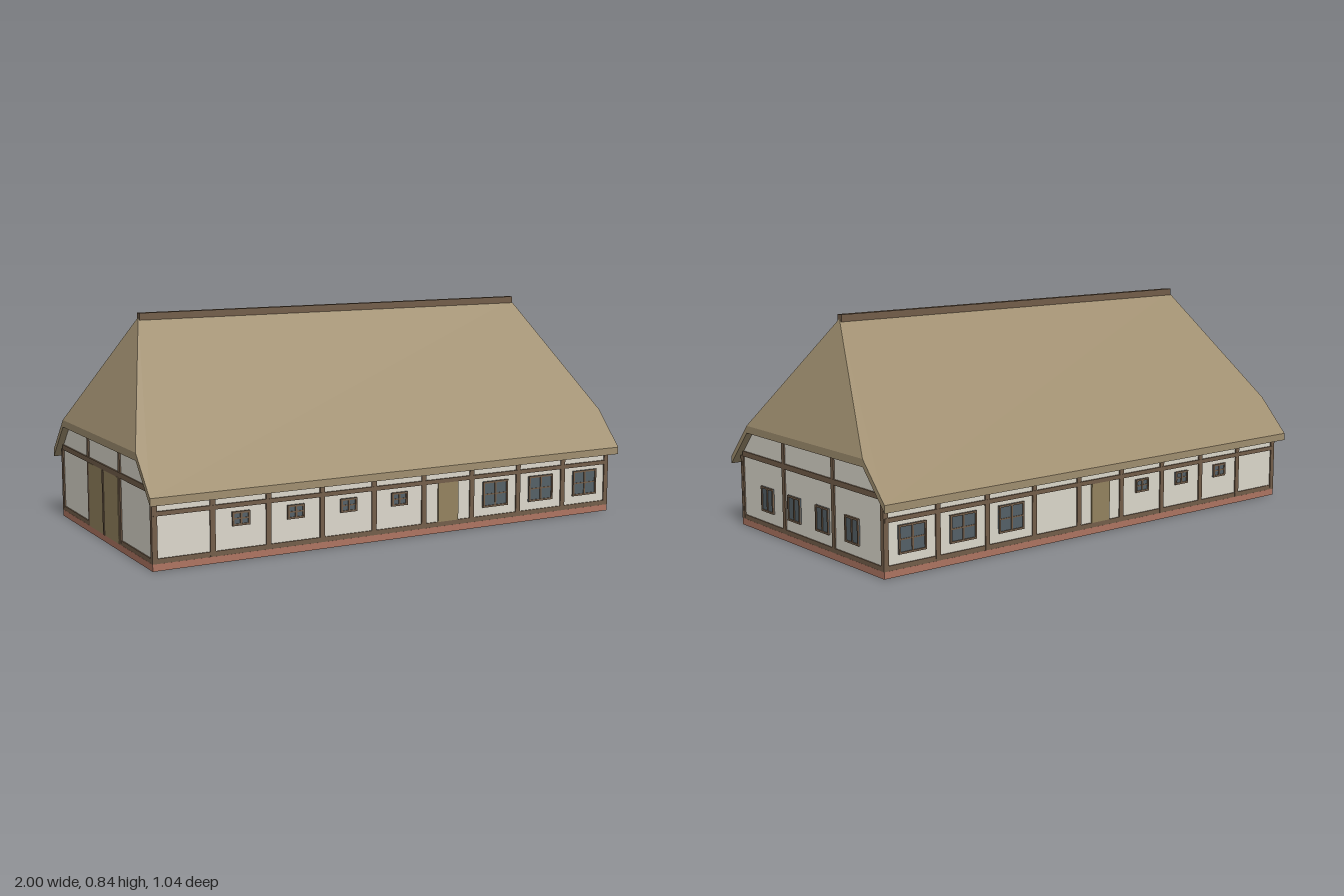
import * as THREE from 'three';

const mat = (name, color, extra = {}) => {
  const m = new THREE.MeshStandardMaterial({ color, ...extra });
  m.name = name;
  return m;
};

export function createModel() {
  const plaster = mat('plaster', 0xdcd8cc);
  const timber = mat('timber', 0x735e4a);
  const thatch = mat('thatch', 0xa08f70, { flatShading: true });
  const brick = mat('brick', 0xae7562);
  const plank = mat('door planks', 0x94835f);
  const glass = mat('window glass', 0x556067);

  const house = new THREE.Group();
  house.name = 'farmhouse';

  const box = (parent, name, m, w, h, d, x, y, z) => {
    const mesh = new THREE.Mesh(new THREE.BoxGeometry(w, h, d), m);
    mesh.name = name;
    mesh.position.set(x, y, z);
    parent.add(mesh);
    return mesh;
  };

  // Plinth and plastered body with clipped gables
  const HX = 0.975, HZ = 0.478;
  box(house, 'plinth', brick, 1.96, 0.025, 0.966, 0, 0.0125, 0);
  const profile = new THREE.Shape([
    [-HZ, 0.02], [HZ, 0.02], [HZ, 0.278], [0.347, 0.42], [-0.347, 0.42], [-HZ, 0.278],
  ].map(([a, b]) => new THREE.Vector2(a, b)));
  const bodyGeo = new THREE.ExtrudeGeometry(profile, { depth: 2 * HX, bevelEnabled: false });
  bodyGeo.translate(0, 0, -HX).rotateY(Math.PI / 2);
  const body = new THREE.Mesh(bodyGeo, plaster);
  body.name = 'walls';
  house.add(body);

  // Half-hipped thatch slab: outer faces, matching underside and rim
  const T = 0.028;
  const ridge = s => [0.83 * s, 0.825, 0];
  const hip = (s, f) => [s, 0.4, 0.394 * f];
  const eave = (s, f) => [s, 0.264, 0.52 * f];
  const pos = [];
  const face = (pts) => {
    for (let i = 1; i < pts.length - 1; i++) pos.push(...pts[0], ...pts[i], ...pts[i + 1]);
  };
  const drop = p => [p[0], p[1] - T, p[2]];
  const skin = (pts) => { face(pts); face(pts.map(drop).reverse()); };
  skin([eave(-1, 1), eave(1, 1), hip(1, 1), ridge(1), ridge(-1), hip(-1, 1)]);
  skin([eave(1, -1), eave(-1, -1), hip(-1, -1), ridge(-1), ridge(1), hip(1, -1)]);
  skin([hip(1, 1), hip(1, -1), ridge(1)]);
  skin([hip(-1, -1), hip(-1, 1), ridge(-1)]);
  const rim = [eave(-1, 1), eave(1, 1), hip(1, 1), hip(1, -1), eave(1, -1),
    eave(-1, -1), hip(-1, -1), hip(-1, 1)];
  rim.forEach((a, i) => {
    const b = rim[(i + 1) % rim.length];
    face([drop(a), drop(b), b, a]);
  });
  const roofGeo = new THREE.BufferGeometry();
  roofGeo.setAttribute('position', new THREE.Float32BufferAttribute(pos, 3));
  roofGeo.computeVertexNormals();
  const roof = new THREE.Mesh(roofGeo, thatch);
  roof.name = 'thatchedRoof';
  house.add(roof);
  box(house, 'ridgeCap', timber, 1.66, 0.026, 0.026, 0, 0.827, 0);

  // Each wall is a group whose local +z points outwards from the plaster
  const wall = (name, angle, dist) => {
    const g = new THREE.Group();
    g.name = name;
    g.rotation.y = angle;
    g.position.set(Math.sin(angle) * dist, 0, Math.cos(angle) * dist);
    house.add(g);
    return g;
  };
  const beam = (g, name, w, y0, y1, x, out = 0.005) =>
    box(g, name, timber, w, y1 - y0, 0.01, x, (y0 + y1) / 2, out - 0.005);

  // Window: glass pane, border and glazing bars
  const addWindow = (g, x, y0, y1, w, cross) => {
    const win = new THREE.Group();
    win.name = 'window';
    const h = y1 - y0, b = 0.007;
    box(win, 'pane', glass, w, h, 0.004, 0, 0, 0.002);
    for (const s of [-1, 1]) {
      box(win, 'frameSide', timber, b, h, 0.008, s * (w - b) / 2, 0, 0.004);
      box(win, 'frameRail', timber, w, b, 0.008, 0, s * (h - b) / 2, 0.004);
    }
    box(win, 'mullion', timber, b, h, 0.007, 0, 0, 0.0035);
    if (cross) box(win, 'crossBar', timber, w, 0.005, 0.006, 0, 0, 0.003);
    win.position.set(x, (y0 + y1) / 2, 0);
    g.add(win);
  };

  // Long walls: nine bays, listed left to right as seen from outside
  const BAY = 0.2157;
  const longWall = (name, angle, bays) => {
    const g = wall(name, angle, HZ);
    for (let i = 0; i <= 9; i++) beam(g, 'post', 0.02, 0.025, 0.272, (i - 4.5) * BAY);
    beam(g, 'sillBeam', 1.95, 0.025, 0.043, 0, 0.0045);
    beam(g, 'rail', 1.95, 0.192, 0.208, 0, 0.0065);
    beam(g, 'wallPlate', 1.95, 0.256, 0.272, 0, 0.0045);
    [...bays].forEach((kind, i) => {
      const x = (i - 4) * BAY;
      if (kind === 's') addWindow(g, x, 0.125, 0.176, 0.068, true);
      if (kind === 'L') addWindow(g, x, 0.076, 0.177, 0.115, true);
      if (kind === 'd') box(g, 'door', plank, 0.09, 0.15, 0.006, x, 0.118, 0.003);
    });
  };
  longWall('frontWall', 0, '-ssssdLLL');
  longWall('backWall', Math.PI, 'LLL-dsss-'.split('').join(''));

  // Gable walls: corner posts, two inner posts, sill and rail
  const gable = (name, angle) => {
    const g = wall(name, angle, HX);
    for (const s of [-1, 1]) {
      beam(g, 'cornerPost', 0.019, 0.025, 0.272, s * 0.4735);
      beam(g, 'post', 0.019, 0.025, 0.42, s * 0.168);
    }
    beam(g, 'sillBeam', 0.95, 0.025, 0.042, 0, 0.0045);
    beam(g, 'rail', 0.936, 0.27, 0.29, 0, 0.0055);
    return g;
  };
  const right = gable('windowGable', Math.PI / 2);
  for (const x of [-0.288, -0.096, 0.096, 0.288]) addWindow(right, x, 0.083, 0.178, 0.086, false);

  // Barn gate between the inner posts of the other gable
  const left = gable('gateGable', -Math.PI / 2);
  for (const s of [-1, 1]) {
    box(left, 'gateLeaf', plank, 0.152, 0.245, 0.006, s * 0.08, 0.1475, 0.003);
  }
  beam(left, 'gateStile', 0.014, 0.025, 0.27, 0, 0.008);

  return house;
}
